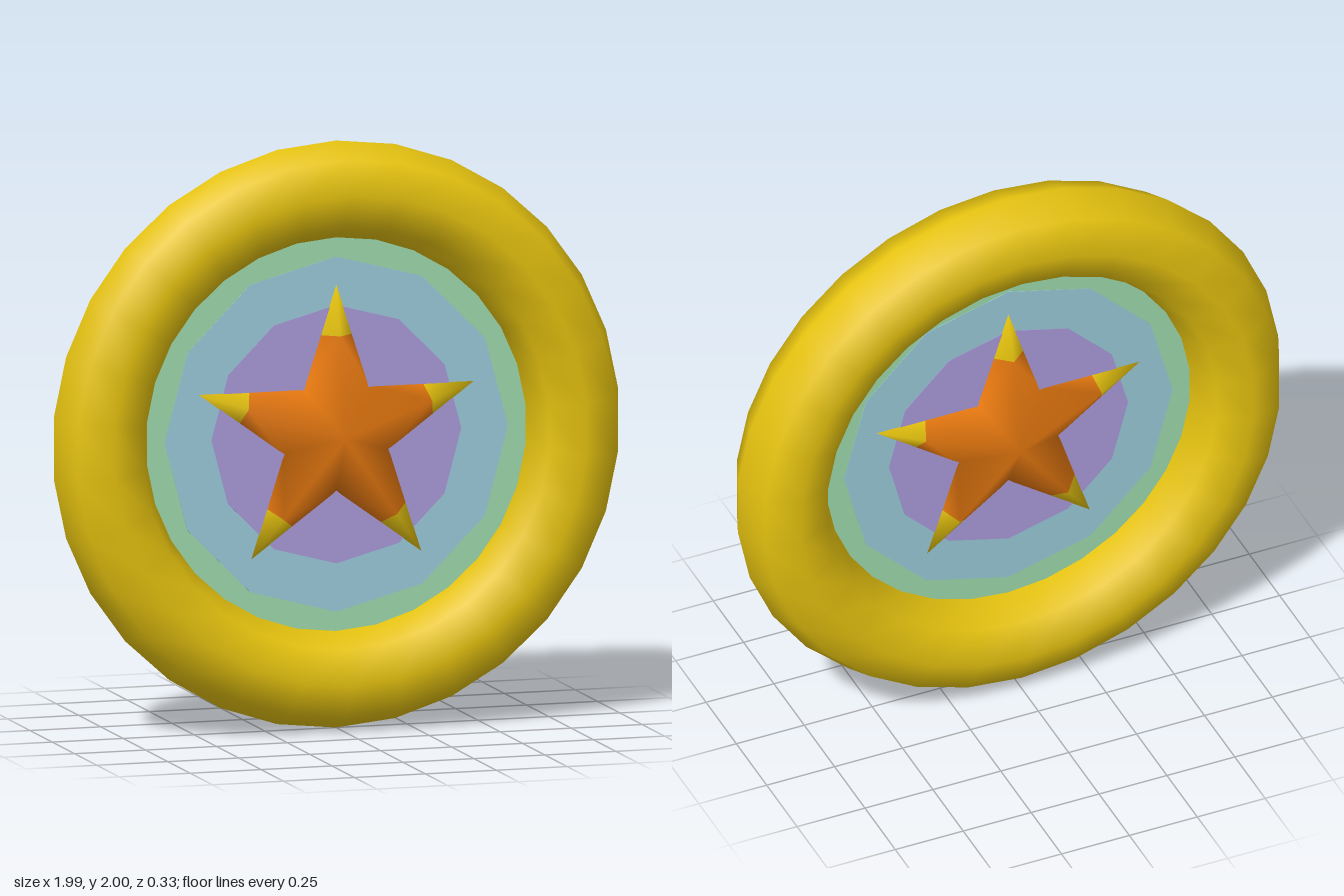
import * as THREE from 'three';

const mat = (name, color, side = THREE.FrontSide) => {
  const m = new THREE.MeshStandardMaterial({ color, side });
  m.name = name;
  return m;
};

// Five-pointed star, raised to a ridge on both faces; group 0 = body, group 1 = tips
function starGeometry({ tipR, notchR, splitR, height, splitHeight }) {
  const pos = [], body = [], tips = [];
  const add = (x, y, z) => pos.push(x, y, z) / 3 - 1;
  const polar = (r, a) => new THREE.Vector2(r * Math.cos(a), r * Math.sin(a));
  const step = Math.PI / 5;
  const apex = [add(0, 0, height), add(0, 0, -height)];
  const notches = [], arms = [];
  for (let i = 0; i < 5; i++) {
    const a = Math.PI / 2 + i * 2 * step;
    const tip = polar(tipR, a);
    const ridge = polar(splitR, a);
    const notchCos = notchR * Math.cos(step);
    const k = (splitR - notchCos) / (tipR - notchCos);
    const edge = s => {
      const p = polar(notchR, a + s * step).lerp(tip, k);
      return add(p.x, p.y, 0);
    };
    const n = polar(notchR, a + step);
    notches.push(add(n.x, n.y, 0));
    arms.push({
      tip: add(tip.x, tip.y, 0),
      ridge: [add(ridge.x, ridge.y, splitHeight), add(ridge.x, ridge.y, -splitHeight)],
      edges: [edge(-1), edge(1)],
    });
  }
  arms.forEach((arm, i) => {
    for (const face of [0, 1]) {
      for (const s of [0, 1]) {
        const notch = notches[s ? i : (i + 4) % 5];
        const R = arm.ridge[face], E = arm.edges[s];
        // swap corners on the mirrored side and on the back
        const tri = (list, p, q, r) => (s !== face ? list.push(p, r, q) : list.push(p, q, r));
        tri(body, apex[face], notch, R);
        tri(body, notch, E, R);
        tri(tips, R, E, arm.tip);
      }
    }
  });
  const g = new THREE.BufferGeometry();
  g.setAttribute('position', new THREE.Float32BufferAttribute(pos, 3));
  g.setIndex([...body, ...tips]);
  g.addGroup(0, body.length, 0);
  g.addGroup(body.length, tips.length, 1);
  g.computeVertexNormals();
  return g;
}

export function createModel() {
  const gold = mat('gold', 0xe6c30f);
  const orange = mat('orange', 0xe6780f);
  const green = mat('pale green', 0x9fdcae);
  const blue = mat('pale blue', 0x9bcddc);
  const purple = mat('lilac', 0xac9bdc);

  const model = new THREE.Group();
  model.name = 'starRing';
  const place = (name, geometry, material) => {
    const mesh = new THREE.Mesh(geometry, material);
    mesh.name = name;
    mesh.position.y = 1;
    model.add(mesh);
  };

  // Outer ring
  place('ring', new THREE.TorusGeometry(0.835, 0.165, 8, 30).rotateZ(Math.PI / 2), gold);

  // Concentric thin panels, each slightly thicker than the one around it
  const disc = (name, r, thickness, sides, material) =>
    place(name, new THREE.CylinderGeometry(r, r, thickness, sides).rotateX(Math.PI / 2), material);
  disc('outerPanel', 0.7, 0.003, 30, green);
  disc('middlePanel', 0.605, 0.006, 12, blue);
  disc('innerPanel', 0.44, 0.009, 12, purple);

  // Star with coloured tips
  place('star', starGeometry({
    tipR: 0.52, notchR: 0.2, splitR: 0.34, height: 0.11, splitHeight: 0.05,
  }), [orange, gold]);

  return model;
}
